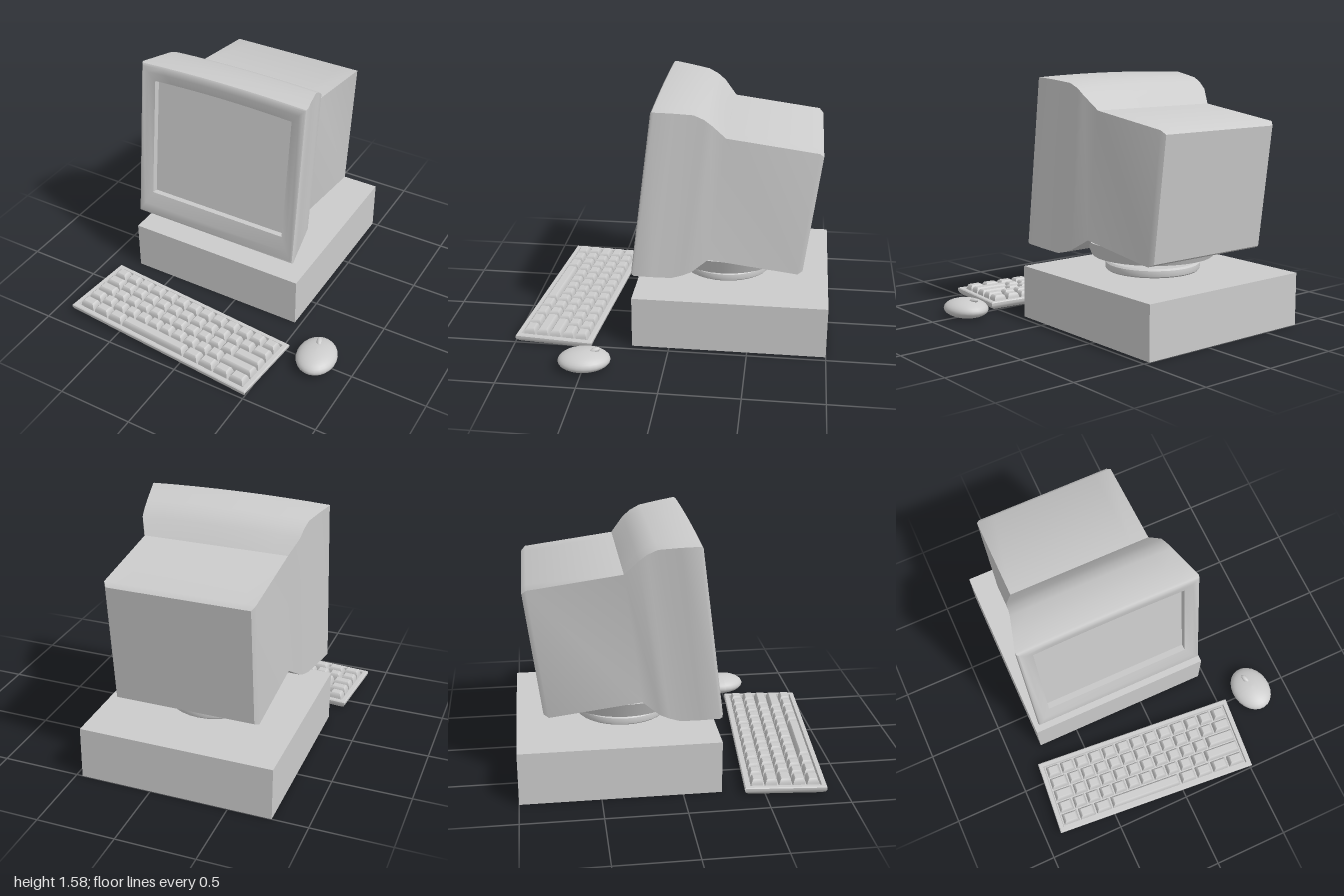
import * as THREE from 'three';
import { toCreasedNormals } from 'three/addons/utils/BufferGeometryUtils.js';

const material = new THREE.MeshStandardMaterial({ color: 0xcccccc });

function part(name, geometry, parent, x = 0, y = 0, z = 0) {
  const mesh = new THREE.Mesh(geometry, material);
  mesh.name = name;
  mesh.position.set(x, y, z);
  parent.add(mesh);
  return mesh;
}

// Loft of rectangular sections along z; each is [z, bottom, top, halfWidth, bow of the top edge]
function loft(sections, crease = 0.7) {
  const steps = 8, count = steps + 3, positions = [], index = [];
  for (const [z, bottom, top, half, bow = 0] of sections) {
    positions.push(-half, bottom, z, half, bottom, z);
    for (let i = 0; i <= steps; i++) {
      const t = 1 - (2 * i) / steps;
      positions.push(half * t, top - bow * t * t, z);
    }
  }
  for (let s = 0; s < sections.length - 1; s++) {
    for (let j = 0; j < count; j++) {
      const a = s * count + j, b = s * count + (j + 1) % count;
      index.push(a, b, b + count, a, b + count, a + count);
    }
  }
  const last = (sections.length - 1) * count;
  for (let j = 1; j < count - 1; j++) {
    index.push(0, j + 1, j, last, last + j, last + j + 1);
  }
  const geometry = new THREE.BufferGeometry();
  geometry.setAttribute('position', new THREE.Float32BufferAttribute(positions, 3));
  geometry.setIndex(index);
  return toCreasedNormals(geometry, crease);
}

// Upright loft of centred rectangles; each is [y, halfWidth, halfDepth]
function stack(levels, crease) {
  return loft(levels.map(([y, w, d]) => [y, -d, d, w]), crease).rotateX(-Math.PI / 2);
}

function lathe(points, segments = 32) {
  const profile = points.map(([r, y]) => new THREE.Vector2(r, y));
  return toCreasedNormals(new THREE.LatheGeometry(profile, segments), 0.6);
}

function createMonitor() {
  const monitor = new THREE.Group();
  monitor.name = 'monitor';
  monitor.position.set(-0.16, 0.505, 0.245);
  monitor.rotation.x = -0.124;

  // Rear housing, shoulder, rounded bezel and recess up to the screen
  part('monitorHousing', loft([
    [-1.066, 0.138, 0.914, 0.44],
    [-1.037, 0.118, 0.936, 0.46],
    [-0.465, 0.117, 0.94, 0.46],
    [-0.375, 0.037, 1.03, 0.508, 0.01],
    [-0.32, 0.006, 1.066, 0.515, 0.012],
    [-0.255, -0.019, 1.09, 0.525, 0.014],
    [-0.13, -0.02, 1.092, 0.557, 0.015],
    [-0.022, -0.016, 1.09, 0.587, 0.015],
    [-0.007, -0.011, 1.086, 0.583, 0.015],
    [0, 0.006, 1.074, 0.572, 0.015],
    [-0.003, 0.06, 1.035, 0.54, 0.014],
    [-0.018, 0.15, 0.977, 0.49, 0.013],
    [-0.06, 0.15, 0.977, 0.49, 0.013],
  ]), monitor);

  // Screen pane just proud of the recess floor
  part('screen', new THREE.PlaneGeometry(0.976, 0.81), monitor, 0, 0.557, -0.058);
  return monitor;
}

function createKeyboard() {
  const keyboard = new THREE.Group();
  keyboard.name = 'keyboard';
  keyboard.position.set(-0.17, 0.003, 0.6825);
  keyboard.rotation.y = -0.0855;

  // Tray with a raised rim
  part('keyboardTray', stack([
    [0, 0.675, 0.226],
    [0.018, 0.696, 0.247],
    [0.032, 0.7025, 0.2535],
    [0.047, 0.7025, 0.2535],
    [0.053, 0.697, 0.248],
    [0.053, 0.672, 0.223],
    [0.03, 0.668, 0.219],
  ]), keyboard);

  // Relative key widths, back row first
  const ones = (n) => Array(n).fill(1);
  const rows = [
    ones(13),
    [1.3, ...ones(11), 1.3],
    [1.4, ...ones(10), 2.1],
    [1.1, ...ones(10), 2.6],
    [1.17, 1.17, 1.17, 5, 1.17, 1.17, 1.17, 1.17],
  ];
  const width = 1.33, pitch = 0.0865;
  rows.forEach((row, r) => {
    const unit = width / row.reduce((sum, w) => sum + w, 0);
    let x = -width / 2;
    for (const w of row) {
      const half = (w * unit) / 2 - 0.005;
      const cap = stack([
        [0.028, half, 0.038],
        [0.058, half - 0.004, 0.035],
        [0.076, half - 0.011, 0.029],
        [0.082, half - 0.018, 0.023],
      ]);
      part('key', cap, keyboard, x + (w * unit) / 2, 0, (r - 2) * pitch);
      x += w * unit;
    }
  });
  return keyboard;
}

function createMouse() {
  const mouse = new THREE.Group();
  mouse.name = 'mouse';
  mouse.position.set(0.75, 0.052, 0.495);
  mouse.rotation.y = 0.17;

  // Egg-like shell with a flattened underside
  const shell = new THREE.SphereGeometry(1, 24, 16);
  const p = shell.attributes.position;
  for (let i = 0; i < p.count; i++) {
    const y = p.getY(i);
    p.setXYZ(i, p.getX(i) * 0.131, y > 0 ? y * 0.066 : Math.max(y * 0.058, -0.05), p.getZ(i) * 0.165);
  }
  shell.computeVertexNormals();
  part('mouseShell', shell, mouse);

  // Scroll button
  const button = new THREE.SphereGeometry(1, 12, 8).scale(0.018, 0.016, 0.034);
  part('mouseButton', button, mouse, -0.006, 0.062, -0.07).rotation.set(0.2, 0.2, 0);
  return mouse;
}

export function createModel() {
  const model = new THREE.Group();
  model.name = 'desktopComputer';

  // Desktop case
  part('computerCase', new THREE.BoxGeometry(1.235, 0.34, 1.24), model, -0.1575, 0.17, -0.38);

  // Swivel stand: disc, neck and the cradle under the monitor
  part('standDisc', lathe([
    [0, 0.335], [0.29, 0.335], [0.303, 0.348], [0.306, 0.367], [0.303, 0.386], [0.29, 0.397], [0, 0.397],
  ]), model, -0.16, 0, -0.32);
  part('standNeck', new THREE.CylinderGeometry(0.178, 0.178, 0.06, 32), model, -0.16, 0.42, -0.32);
  part('standCradle', new THREE.CylinderGeometry(0.435, 0.392, 0.1, 32), model, -0.16, 0.49, -0.32);

  model.add(createMonitor(), createKeyboard(), createMouse());
  return model;
}
